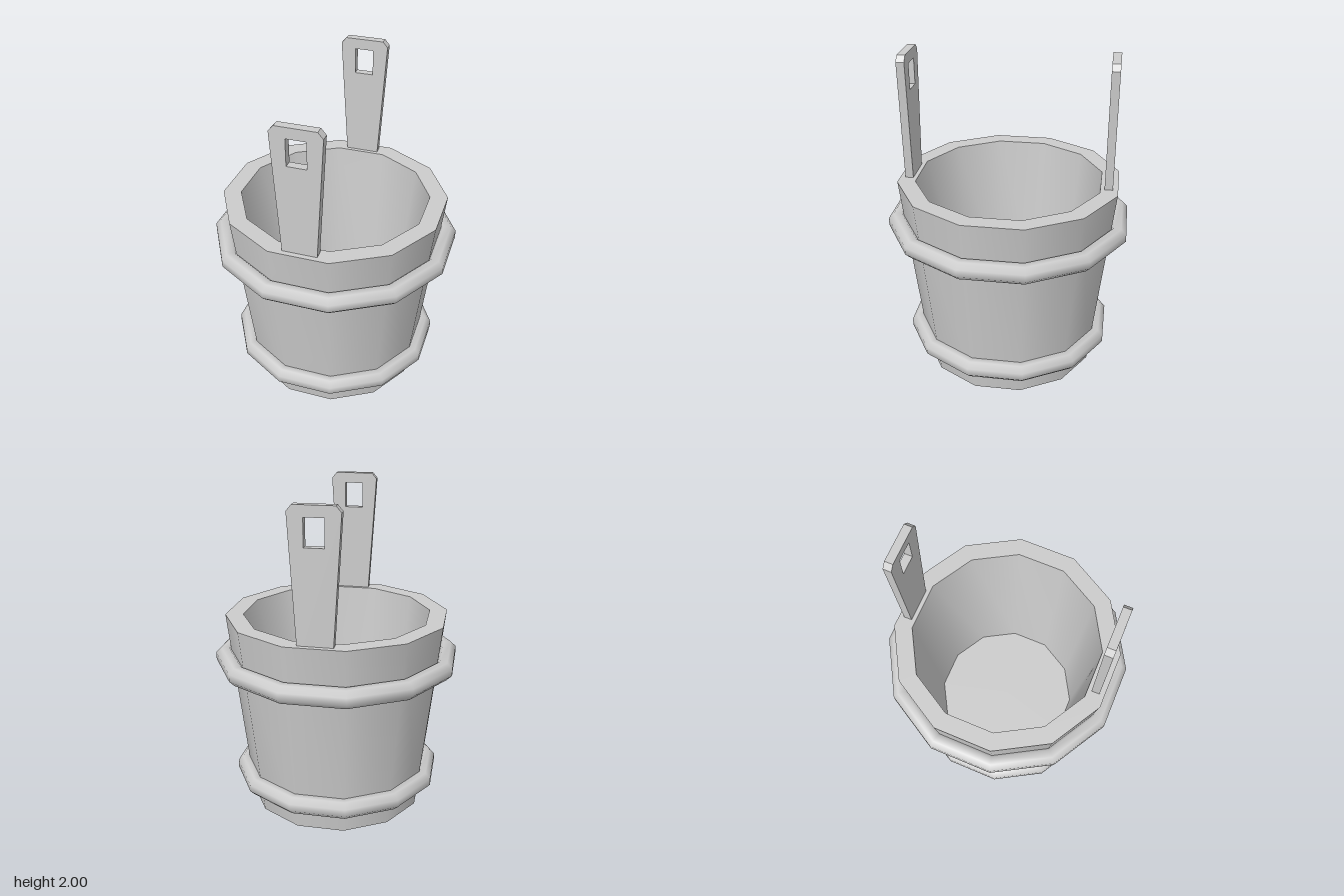
import * as THREE from 'three';
import { toCreasedNormals } from 'three/addons/utils/BufferGeometryUtils.js';

const SIDES = 12;

export function createModel() {
  const group = new THREE.Group();
  group.name = 'bucket';
  const material = new THREE.MeshStandardMaterial({ color: 0xcccccc });

  const add = (name, geometry) => {
    const mesh = new THREE.Mesh(geometry, material);
    mesh.name = name;
    group.add(mesh);
    return mesh;
  };

  // Twelve-sided turned part, smooth around and sharp at its rims
  const turned = (profile, crease) =>
    toCreasedNormals(
      new THREE.LatheGeometry(profile.map(([r, y]) => new THREE.Vector2(r, y)), SIDES),
      crease
    );

  // Hollow tapered tub with a thick wall and floor
  add('tub', turned([
    [0, 0], [0.555, 0], [0.692, 1.225], [0.582, 1.225], [0.465, 0.16], [0, 0.16],
  ], 0.8));

  // Hoops with an octagonal section
  const hoop = (name, radius, y) => {
    const section = [];
    for (let i = 0; i <= 8; i++) {
      const a = ((i + 0.5) / 8) * Math.PI * 2;
      section.push([radius + 0.06 * Math.cos(a), y + 0.06 * Math.sin(a)]);
    }
    add(name, turned(section, 1));
  };
  hoop('lowerHoop', 0.6, 0.185);
  hoop('upperHoop', 0.705, 0.955);

  // Tapered upright lug with clipped corners and a square hole
  const outline = new THREE.Shape([
    [-0.098, 1.12], [0.098, 1.12], [0.148, 1.965], [0.118, 2],
    [-0.118, 2], [-0.148, 1.965],
  ].map(([x, y]) => new THREE.Vector2(x, y)));
  outline.holes.push(new THREE.Path([
    [-0.057, 1.775], [-0.057, 1.935], [0.057, 1.935], [0.057, 1.775],
  ].map(([x, y]) => new THREE.Vector2(x, y))));
  const lug = new THREE.ExtrudeGeometry(outline, { depth: 0.05, bevelEnabled: false });
  lug.translate(0, 0, 0.587);

  // One lug on each of two opposite sides of the rim
  const turn = -Math.PI / SIDES;
  add('frontLug', lug).rotation.y = turn;
  add('backLug', lug).rotation.y = turn + Math.PI;

  return group;
}
